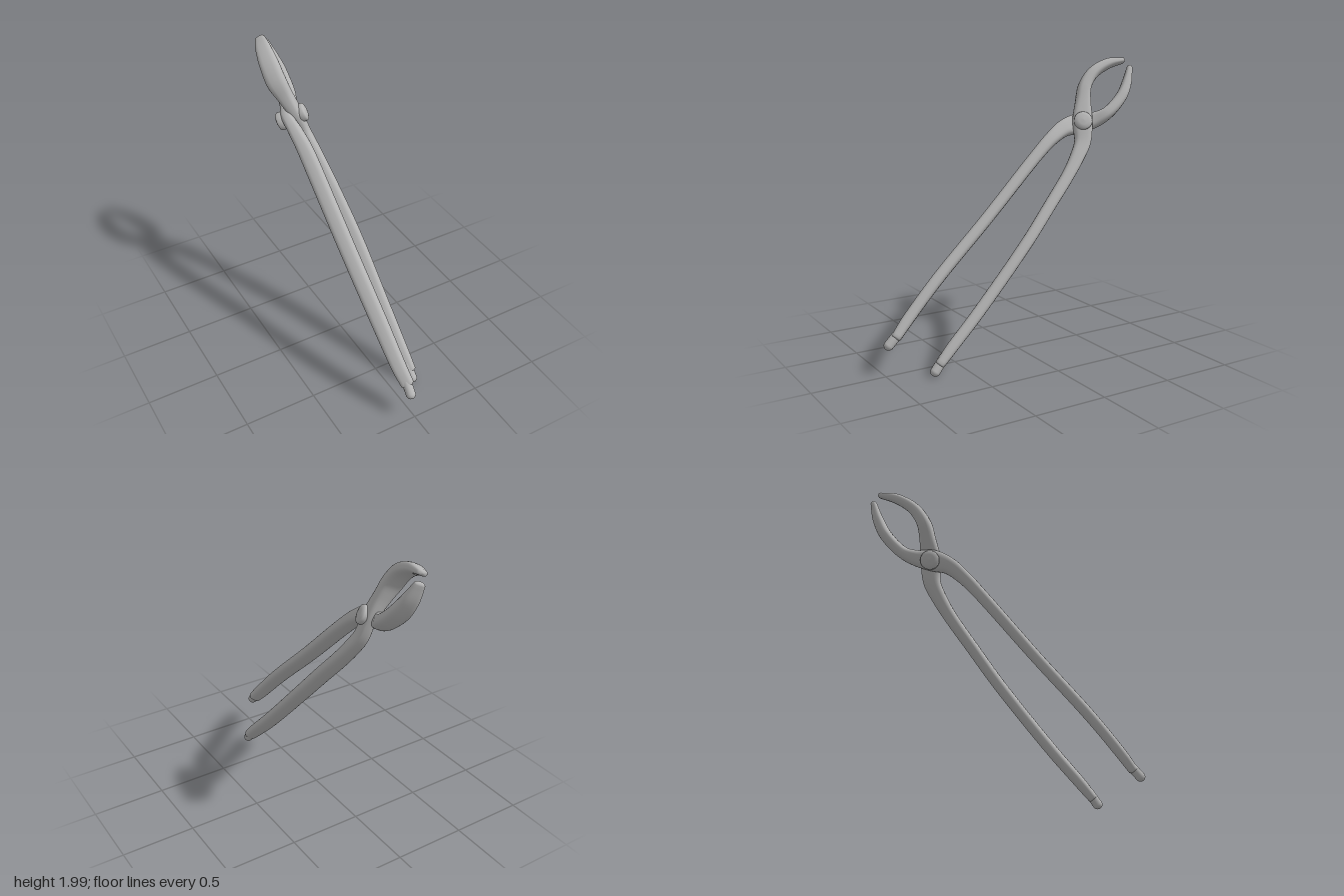
import * as THREE from 'three';

const steel = new THREE.MeshStandardMaterial({ color: 0xb4b4b4 });
steel.name = 'steel grey';

// Axis of the pivot, square to the plane in which the tool opens
const axis = new THREE.Vector3(0.82, 0.41, 0.41).normalize();

// Sweeps a rounded-rectangle section; each point is [x, y, z, half width, half thickness]
function loft(points, sides = 24, steps = 72) {
  const path = new THREE.CatmullRomCurve3(points.map(p => new THREE.Vector3(p[0], p[1], p[2])));
  const size = new THREE.CatmullRomCurve3(points.map(p => new THREE.Vector3(p[3], p[4], 0)));
  const rings = [[0, 0, -0.014], [0, 0.55, -0.012], [0, 0.85, -0.006]];
  for (let i = 0; i <= steps; i++) rings.push([i / steps, 1, 0]);
  rings.push([1, 0.85, 0.006], [1, 0.55, 0.012], [1, 0, 0.014]);
  const pos = [], index = [];
  const soft = v => Math.sign(v) * Math.pow(Math.abs(v), 0.68);
  rings.forEach(([t, scale, push], r) => {
    const tangent = path.getTangent(t);
    const centre = path.getPoint(t).addScaledVector(tangent, push);
    const side = tangent.clone().cross(axis).normalize();
    const up = side.clone().cross(tangent);
    const s = size.getPoint(t);
    for (let j = 0; j < sides; j++) {
      const a = (j / sides) * Math.PI * 2;
      const p = centre.clone()
        .addScaledVector(side, soft(Math.cos(a)) * s.x * scale)
        .addScaledVector(up, soft(Math.sin(a)) * s.y * scale);
      pos.push(p.x, p.y, p.z);
      if (r < rings.length - 1) {
        const k = (j + 1) % sides, b = r * sides, c = b + sides;
        index.push(b + j, c + j, b + k, b + k, c + j, c + k);
      }
    }
  });
  const g = new THREE.BufferGeometry();
  g.setAttribute('position', new THREE.Float32BufferAttribute(pos, 3));
  g.setIndex(index);
  g.computeVertexNormals();
  return g;
}

export function createModel() {
  const model = new THREE.Group();
  model.name = 'tongs';
  const add = (name, geometry) => {
    const mesh = new THREE.Mesh(geometry, steel);
    mesh.name = name;
    model.add(mesh);
    return mesh;
  };

  // Lever whose handle lies above and whose jaw lies below
  add('upperHandleAndLowerJaw', loft([
    [-0.015, 0.245, 0.915, 0.033, 0.044],
    [-0.03, 0.33, 0.835, 0.038, 0.05],
    [-0.05, 0.57, 0.6, 0.04, 0.055],
    [-0.07, 0.94, 0.2, 0.041, 0.056],
    [-0.09, 1.325, -0.2, 0.043, 0.055],
    [-0.095, 1.43, -0.32, 0.047, 0.052],
    [-0.1, 1.505, -0.44, 0.058, 0.046],
    [-0.09, 1.53, -0.545, 0.072, 0.042],
    [-0.04, 1.555, -0.65, 0.055, 0.052],
    [-0.005, 1.6, -0.74, 0.042, 0.065],
    [-0.005, 1.71, -0.865, 0.04, 0.066],
    [-0.025, 1.81, -0.93, 0.034, 0.055],
    [-0.05, 1.915, -0.973, 0.019, 0.034],
  ]));

  // Lever whose handle lies below and whose jaw lies above
  add('lowerHandleAndUpperJaw', loft([
    [0.16, 0.075, 0.69, 0.032, 0.043],
    [0.152, 0.16, 0.605, 0.038, 0.05],
    [0.142, 0.36, 0.4, 0.04, 0.054],
    [0.118, 0.785, 0, 0.041, 0.055],
    [0.088, 1.01, -0.2, 0.042, 0.055],
    [0.058, 1.2, -0.37, 0.044, 0.053],
    [0.035, 1.315, -0.46, 0.05, 0.05],
    [0.01, 1.42, -0.525, 0.058, 0.046],
    [-0.03, 1.555, -0.55, 0.07, 0.043],
    [-0.09, 1.69, -0.595, 0.054, 0.056],
    [-0.128, 1.785, -0.635, 0.047, 0.068],
    [-0.137, 1.877, -0.71, 0.041, 0.066],
    [-0.12, 1.942, -0.83, 0.033, 0.054],
    [-0.09, 1.963, -0.94, 0.018, 0.034],
  ]));

  // Round nubs at the ends of the handles
  const nub = (name, from, to) => {
    const a = new THREE.Vector3(...from), b = new THREE.Vector3(...to);
    const m = add(name, new THREE.CapsuleGeometry(0.033, a.distanceTo(b), 8, 16));
    m.position.copy(a).lerp(b, 0.5);
    m.quaternion.setFromUnitVectors(new THREE.Vector3(0, 1, 0), b.sub(a).normalize());
  };
  nub('upperHandleNub', [-0.018, 0.26, 0.905], [-0.02, 0.2, 0.965]);
  nub('lowerHandleNub', [0.155, 0.11, 0.66], [0.16, 0.033, 0.725]);

  // Domed rivet heads on both sides of the pivot
  const profile = [[0, -0.04], [0.05, -0.04], [0.062, -0.03], [0.064, 0.006], [0.057, 0.018], [0.035, 0.025], [0, 0.028]]
    .map(p => new THREE.Vector2(...p));
  for (const [name, centre, dir] of [
    ['leftRivetHead', [0.011, 1.565, -0.527], 1],
    ['rightRivetHead', [-0.13, 1.505, -0.585], -1],
  ]) {
    const m = add(name, new THREE.LatheGeometry(profile, 32));
    m.position.set(...centre);
    m.quaternion.setFromUnitVectors(new THREE.Vector3(0, 1, 0), axis.clone().multiplyScalar(dir));
  }
  return model;
}
